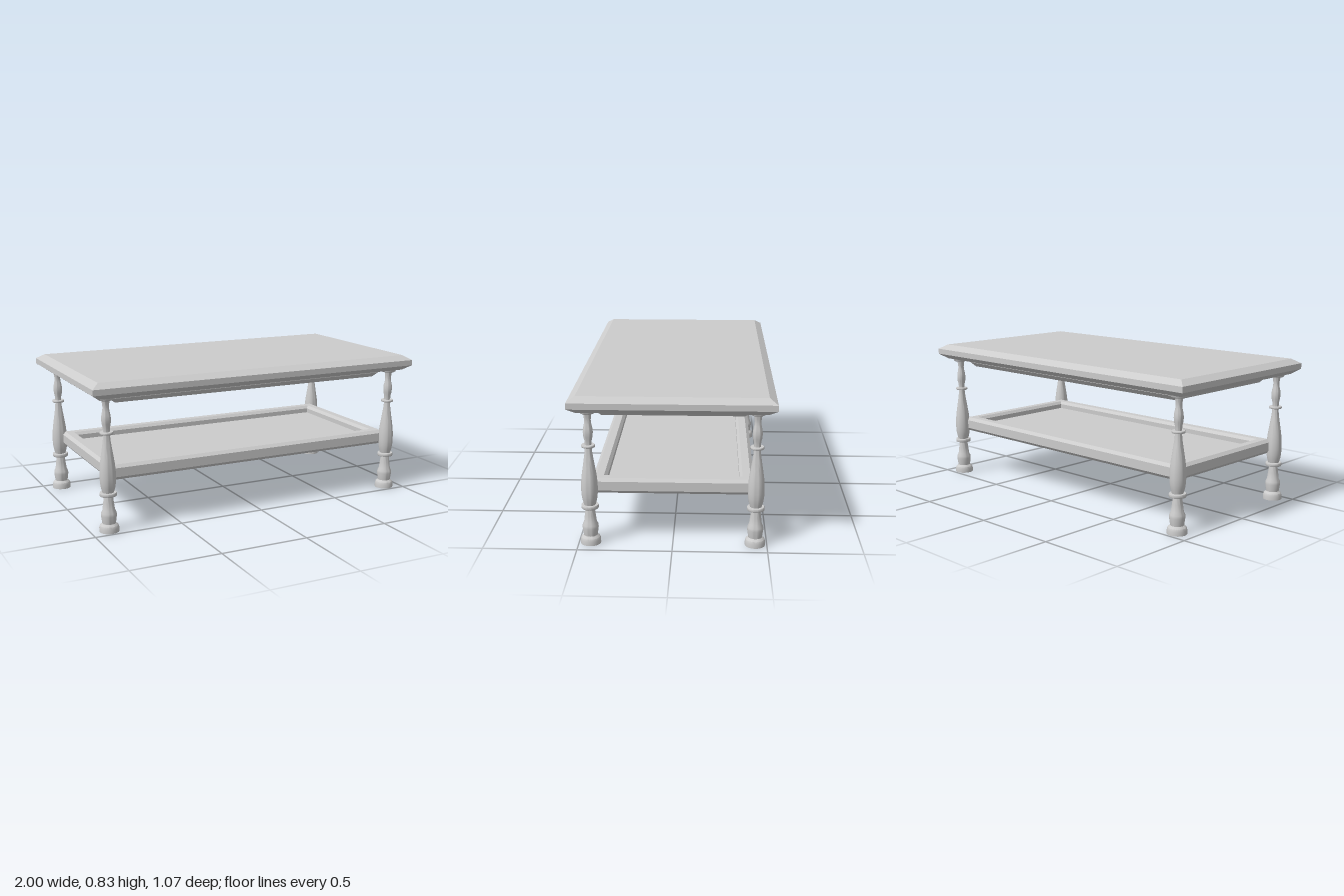
import * as THREE from 'three';
import { toCreasedNormals } from 'three/addons/utils/BufferGeometryUtils.js';

const material = new THREE.MeshStandardMaterial({ color: 0xcccccc });
const flat = new THREE.MeshStandardMaterial({ color: 0xcccccc, flatShading: true });
const open = new THREE.MeshStandardMaterial({ color: 0xcccccc, side: THREE.DoubleSide });

// Rectangular moulding: profile of [inset, y] from the underside round to the top, capped at both ends
function moulding(name, halfX, halfZ, profile) {
  const rings = profile.map(([inset, y]) => [halfX - inset, y, halfZ - inset]);
  rings.unshift([0, profile[0][1], 0]);
  rings.push([0, profile[profile.length - 1][1], 0]);
  const corners = [[1, 1], [1, -1], [-1, -1], [-1, 1]];
  const point = ([x, y, z], k) => [x * corners[k % 4][0], y, z * corners[k % 4][1]];
  const positions = [];
  for (let i = 0; i < rings.length - 1; i++) {
    for (let k = 0; k < 4; k++) {
      const a = point(rings[i], k), b = point(rings[i], k + 1);
      const c = point(rings[i + 1], k + 1), d = point(rings[i + 1], k);
      if (i > 0) positions.push(...a, ...b, ...c);
      if (i === 0) positions.push(...a, ...c, ...d);
      else if (i < rings.length - 2) positions.push(...a, ...c, ...d);
    }
  }
  const geometry = new THREE.BufferGeometry();
  geometry.setAttribute('position', new THREE.Float32BufferAttribute(positions, 3));
  geometry.computeVertexNormals();
  const mesh = new THREE.Mesh(geometry, flat);
  mesh.name = name;
  return mesh;
}

// Turned leg profile as [radius, y], from foot to capital
const legProfile = [
  [0.054, 0], [0.054, 0.022], [0.05, 0.036], [0.037, 0.047],
  [0.038, 0.055], [0.043, 0.09], [0.042, 0.105], [0.034, 0.122], [0.029, 0.16], [0.024, 0.2],
  [0.044, 0.2], [0.046, 0.203], [0.046, 0.217], [0.044, 0.22],
  [0.031, 0.22], [0.038, 0.245], [0.042, 0.27], [0.044, 0.3], [0.043, 0.345], [0.039, 0.385],
  [0.032, 0.43], [0.025, 0.475], [0.02, 0.51], [0.018, 0.54],
  [0.034, 0.54], [0.036, 0.543], [0.036, 0.55], [0.034, 0.553],
  [0.018, 0.553], [0.019, 0.575], [0.024, 0.597], [0.026, 0.62], [0.024, 0.643],
  [0.019, 0.665], [0.017, 0.685], [0.019, 0.705], [0.022, 0.722],
  [0.036, 0.724], [0.043, 0.729], [0.047, 0.74]
];

export function createModel() {
  const table = new THREE.Group();
  table.name = 'table';

  // Table top with bevelled edges
  table.add(moulding('tableTop', 1, 0.533, [
    [0.043, 0.74], [0, 0.77], [0, 0.802], [0.043, 0.829]
  ]));

  // Shallow block under the top
  table.add(moulding('apron', 0.85, 0.4, [
    [0.025, 0.69], [0, 0.716], [0, 0.742]
  ]));

  // Lower shelf with a raised rim around a recessed panel
  table.add(moulding('lowerShelf', 0.89, 0.427, [
    [0.015, 0.275], [0, 0.292], [0, 0.342], [0.018, 0.358],
    [0.06, 0.358], [0.075, 0.342], [0.075, 0.315]
  ]));

  // Four turned legs
  const legGeometry = toCreasedNormals(
    new THREE.LatheGeometry(legProfile.map(([r, y]) => new THREE.Vector2(r, y)), 32), 0.6);
  for (const [sx, side] of [[1, 'Left'], [-1, 'Right']]) {
    for (const [sz, end] of [[1, 'front'], [-1, 'back']]) {
      const leg = new THREE.Mesh(legGeometry, open);
      leg.name = `${end}${side}Leg`;
      leg.position.set(sx * 0.9, 0, sz * 0.437);
      table.add(leg);
    }
  }
  return table;
}
